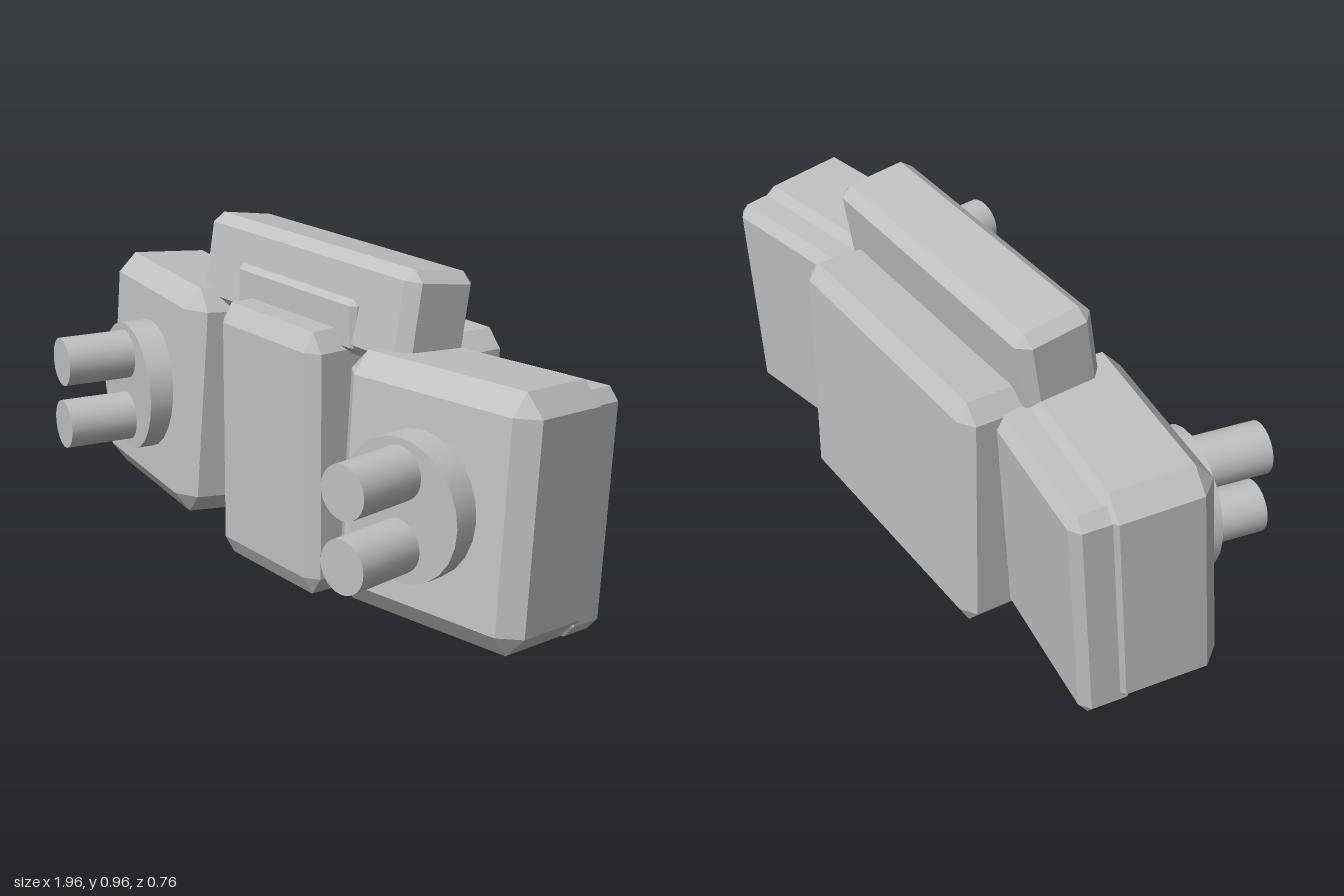
import * as THREE from 'three';
import { ConvexGeometry } from 'three/addons/geometries/ConvexGeometry.js';

const grey = new THREE.MeshStandardMaterial({ color: 0xc0c0c0 });
grey.name = 'plain grey';

// Box with every edge and corner cut; c holds the cut depth along x, y and z
function bevelBox(name, [w, h, d], [cx, cy, cz], [px, py, pz]) {
  const points = [];
  for (const x of [-w / 2, w / 2])
    for (const y of [-h / 2, h / 2])
      for (const z of [-d / 2, d / 2]) {
        const ix = x - Math.sign(x) * cx, iy = y - Math.sign(y) * cy, iz = z - Math.sign(z) * cz;
        points.push(
          new THREE.Vector3(x, iy, iz),
          new THREE.Vector3(ix, y, iz),
          new THREE.Vector3(ix, iy, z)
        );
      }
  const mesh = new THREE.Mesh(new ConvexGeometry(points), grey);
  mesh.name = name;
  mesh.position.set(px, py, pz);
  return mesh;
}

// Cylinder lying along z between two depths
function barrel(name, radius, sides, x, y, zBack, zFront) {
  const geometry = new THREE.CylinderGeometry(radius, radius, zFront - zBack, sides);
  geometry.rotateX(Math.PI / 2);
  const mesh = new THREE.Mesh(geometry, grey);
  mesh.name = name;
  mesh.position.set(x, y, (zBack + zFront) / 2);
  return mesh;
}

export function createModel() {
  const model = new THREE.Group();
  model.name = 'model';

  // Central body
  model.add(bevelBox('backBlock', [0.89, 0.725, 0.295], [0.045, 0.05, 0.03], [0, 0.3825, -0.2375]));
  model.add(bevelBox('frontColumn', [0.47, 0.757, 0.26], [0.04, 0.055, 0.03], [0, 0.3785, -0.01]));

  // Leaning top slab and the small plate on its front
  const slab = bevelBox('topSlab', [0.965, 0.27, 0.228], [0.035, 0.03, 0.032], [0, 0.81, -0.114]);
  slab.rotation.x = -0.16;
  model.add(slab);
  model.add(bevelBox('slabPlate', [0.555, 0.145, 0.07], [0.015, 0.015, 0.015], [0, 0.7725, -0.017]));

  // Side pods, turned outward
  for (const side of [1, -1]) {
    const pod = new THREE.Group();
    pod.name = side > 0 ? 'leftPod' : 'rightPod';
    pod.position.set(side * 0.644, 0.4, -0.072);
    pod.rotation.y = side * 0.166;

    // Casing and rear plate lean back together
    const casing = new THREE.Group();
    casing.name = 'podCasing';
    casing.rotation.x = -0.073;
    casing.add(bevelBox('podBox', [0.635, 0.685, 0.33], [0.055, 0.06, 0.05], [0, 0, 0]));
    casing.add(bevelBox('podRearPlate', [0.56, 0.655, 0.15], [0.03, 0.035, 0.025], [side * 0.025, -0.012, -0.157]));
    pod.add(casing);

    // Round mount with two stubby barrels
    const x = side * -0.018;
    pod.add(barrel('barrelMount', 0.194, 24, x, 0.008, 0.1, 0.236));
    pod.add(barrel('upperBarrel', 0.073, 24, x, 0.108, 0.2, 0.442));
    pod.add(barrel('lowerBarrel', 0.073, 24, x, -0.087, 0.2, 0.442));
    model.add(pod);
  }
  return model;
}
